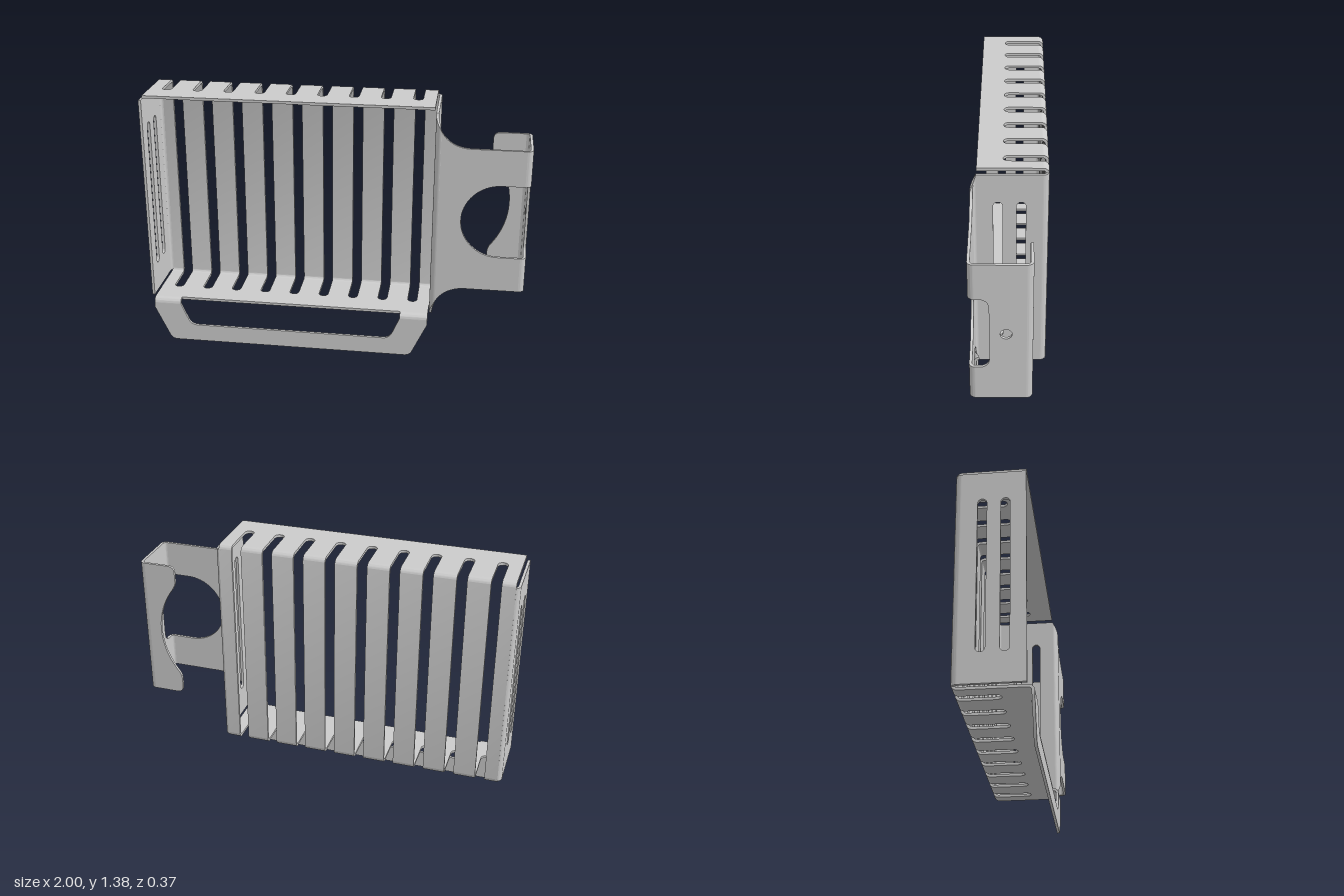
import * as THREE from 'three';
import { toCreasedNormals } from 'three/addons/utils/BufferGeometryUtils.js';

const T = 0.014;            // sheet thickness
const R = 0.03;             // outer bend radius
const PI = Math.PI;
const X0 = -0.98, X1 = 0.51; // width of top and floor plates
const MID = (X0 + X1) / 2;
const SLOTS = Array.from({ length: 9 }, (_, i) => -0.887 + i * 0.163);
const SLOT_R = 0.025;

export function createModel() {
  const model = new THREE.Group();
  const material = new THREE.MeshStandardMaterial({ color: 0xcccccc });

  function add(name, geometry) {
    const mesh = new THREE.Mesh(toCreasedNormals(geometry, 0.6), material);
    mesh.name = name;
    model.add(mesh);
  }
  const extrude = (shape, depth) =>
    new THREE.ExtrudeGeometry(shape, { depth, bevelEnabled: false, curveSegments: 16 });
  // shape in (x, y), back face at z
  const facing = (shape, z, depth = T) => extrude(shape, depth).translate(0, 0, z);
  // shape in (z, y), right face at x, depth runs towards -x
  const sideways = (shape, x, depth = T) => extrude(shape, depth).rotateY(-PI / 2).translate(x, 0, 0);
  // shape in (x, z), upper face at y, depth runs downwards
  const lying = (shape, y, depth = T) => extrude(shape, depth).rotateX(PI / 2).translate(0, y, 0);

  // quarter ring section of a bend
  function quarter(cx, cy, a) {
    const s = new THREE.Shape();
    s.absarc(cx, cy, R, a, a + PI / 2, false);
    s.absarc(cx, cy, R - T, a + PI / 2, a, true);
    return s;
  }
  function rect(x0, y0, x1, y1) {
    return new THREE.Shape([[x0, y0], [x1, y0], [x1, y1], [x0, y1]].map(p => new THREE.Vector2(...p)));
  }

  // top plate and floor, notched by the slots from the back
  function comb(front) {
    const s = new THREE.Shape();
    s.moveTo(X0, front).lineTo(X1, front).lineTo(X1, -0.155);
    for (const c of [...SLOTS].reverse()) {
      s.lineTo(c + SLOT_R, -0.155).lineTo(c + SLOT_R, 0.005);
      s.absarc(c, 0.005, SLOT_R, 0, PI, false);
      s.lineTo(c - SLOT_R, -0.155);
    }
    s.lineTo(X0, -0.155);
    return s;
  }
  add('topPlate', lying(comb(0.153), 1.38));
  add('floorPlate', lying(comb(0.155), 0.246));

  // back ribs, bent into the top and the floor
  const rib = new THREE.Shape();
  rib.absarc(-0.155, 0.262, R, -PI / 2, -PI, true);
  rib.absarc(-0.155, 1.35, R, PI, PI / 2, true);
  rib.absarc(-0.155, 1.35, R - T, PI / 2, PI, false);
  rib.absarc(-0.155, 0.262, R - T, PI, 1.5 * PI, false);
  for (let i = 0; i <= SLOTS.length; i++) {
    const a = i === 0 ? X0 : SLOTS[i - 1] + SLOT_R;
    const b = i === SLOTS.length ? X1 : SLOTS[i] - SLOT_R;
    add('backRib', sideways(rib, b, b - a));
  }

  // side plates with two long slots each
  function sidePlate(front) {
    const s = rect(-0.155, 0.25, front, 1.355);
    for (const z of [-0.055, 0.055]) {
      const h = new THREE.Path();
      h.absarc(z, 1.186, 0.022, 0, PI, false);
      h.absarc(z, 0.425, 0.022, PI, 2 * PI, false);
      h.closePath();
      s.holes.push(h);
    }
    return s;
  }
  add('rightSidePlate', sideways(sidePlate(0.153), -1 + T));
  add('leftSidePlate', sideways(sidePlate(0.155), 0.53));
  add('rightBackBend', lying(quarter(-0.97, -0.155, PI), 1.355, 1.105));
  add('leftBackBend', lying(quarter(0.5, -0.155, 1.5 * PI), 1.355, 1.105));

  // lower front handle
  const handle = new THREE.Shape();
  const hx = (d) => MID + d;
  handle.moveTo(hx(-0.745), 0.216).lineTo(hx(-0.745), 0.19).lineTo(hx(-0.668), 0.025);
  handle.quadraticCurveTo(hx(-0.655), 0, hx(-0.625), 0);
  handle.lineTo(hx(0.625), 0);
  handle.quadraticCurveTo(hx(0.655), 0, hx(0.668), 0.025);
  handle.lineTo(hx(0.745), 0.19).lineTo(hx(0.745), 0.216).lineTo(hx(0.597), 0.216);
  handle.lineTo(hx(0.56), 0.13);
  handle.quadraticCurveTo(hx(0.545), 0.095, hx(0.51), 0.095);
  handle.lineTo(hx(-0.51), 0.095);
  handle.quadraticCurveTo(hx(-0.545), 0.095, hx(-0.56), 0.13);
  handle.lineTo(hx(-0.597), 0.216);
  add('handle', facing(handle, 0.185 - T));
  for (const x of [X0 + 0.147, X1])
    add('handleBend', sideways(quarter(0.155, 0.216, 0), x, 0.147));

  // bend from side plate to bracket, narrowing along the curve
  const CY = 0.8025;
  const neck = lying(quarter(0.546, 0.155, PI / 2), CY + 0.5, 1);
  const p = neck.attributes.position;
  for (let i = 0; i < p.count; i++) {
    const t = (PI - Math.atan2(p.getZ(i) - 0.155, p.getX(i) - 0.546)) / (PI / 2);
    const half = THREE.MathUtils.lerp(0.5525, 0.4675, t);
    p.setY(i, CY + Math.sign(p.getY(i) - CY) * half);
  }
  neck.computeVertexNormals();
  add('bracketNeckBend', neck);

  // bracket front with a round opening running off its outer edge
  const front = new THREE.Shape();
  front.moveTo(0.546, 1.27);
  front.bezierCurveTo(0.575, 1.215, 0.63, 1.185, 0.70, 1.185);
  front.lineTo(0.97, 1.185).lineTo(0.97, 0.9975).lineTo(0.855, 0.9975);
  front.absarc(0.855, CY, 0.195, PI / 2, 1.5 * PI, false);
  front.lineTo(0.97, 0.6075).lineTo(0.97, 0.42).lineTo(0.70, 0.42);
  front.bezierCurveTo(0.63, 0.42, 0.575, 0.39, 0.546, 0.335);
  add('bracketFront', facing(front, 0.185 - T));
  for (const y of [1.185, 0.6075])
    add('bracketFrontBend', lying(quarter(0.97, 0.155, 0), y, 0.1875));

  // bracket outer wall with rounded notch and screw hole
  const wall = new THREE.Shape();
  wall.moveTo(0.155, 1.185).lineTo(-0.08, 1.185).lineTo(-0.08, 0.42).lineTo(0.155, 0.42);
  wall.lineTo(0.155, 0.6075).lineTo(0.14, 0.6075);
  wall.quadraticCurveTo(0.09, 0.6075, 0.09, 0.66);
  wall.lineTo(0.09, 0.945);
  wall.quadraticCurveTo(0.09, 0.9975, 0.14, 0.9975);
  wall.lineTo(0.155, 0.9975);
  const screw = new THREE.Path();
  screw.absarc(0.013, CY, 0.027, 0, 2 * PI, false);
  wall.holes.push(screw);
  add('bracketWall', sideways(wall, 1));
  add('bracketBackBend', lying(quarter(0.97, -0.08, 1.5 * PI), 1.185, 0.765));

  // bracket back tab with a hollow inner edge
  const tab = new THREE.Shape();
  tab.moveTo(0.97, 1.185).lineTo(0.84, 1.185);
  tab.quadraticCurveTo(0.803, 1.185, 0.803, 1.148);
  tab.lineTo(0.803, 1.1);
  tab.quadraticCurveTo(0.803, 1.075, 0.82, 1.055);
  tab.absarc(0.5, CY, 0.405, 0.67, -0.67, true);
  tab.quadraticCurveTo(0.803, 0.53, 0.803, 0.505);
  tab.lineTo(0.803, 0.457);
  tab.quadraticCurveTo(0.803, 0.42, 0.84, 0.42);
  tab.lineTo(0.97, 0.42);
  add('bracketBackTab', facing(tab, -0.11));

  return model;
}
